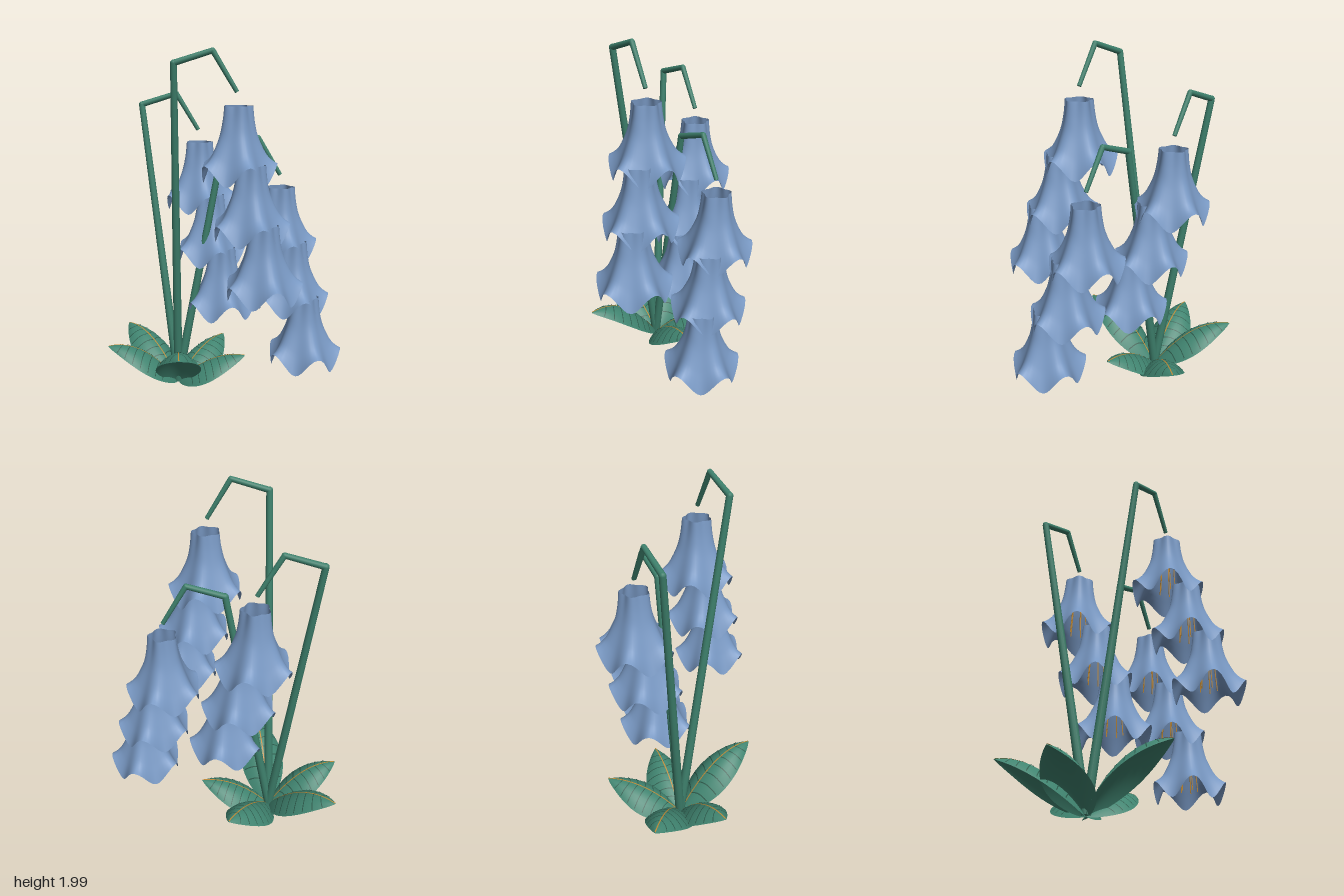
import * as THREE from 'three';
import { ParametricGeometry } from 'three/addons/geometries/ParametricGeometry.js';

const V = (x, y, z) => new THREE.Vector3(x, y, z);
const BASE = V(-0.27, 0.02, -0.13);

function makeMaterial(name, color, side = THREE.FrontSide) {
  const m = new THREE.MeshStandardMaterial({ color, side });
  m.name = name;
  return m;
}

function mesh(name, geometry, material) {
  const m = new THREE.Mesh(geometry, material);
  m.name = name;
  return m;
}

// tapered rod between two points
function rod(name, a, b, ra, rb, material) {
  const m = mesh(name, new THREE.CylinderGeometry(rb, ra, a.distanceTo(b), 12), material);
  m.position.copy(a).lerp(b, 0.5);
  m.quaternion.setFromUnitVectors(V(0, 1, 0), b.clone().sub(a).normalize());
  return m;
}

// bell profiles (radius, height) along the raised and the drooping parts of the rim
const spline = pts => new THREE.SplineCurve(pts.map(p => new THREE.Vector2(...p)));
const raised = spline([[0.082, 0], [0.09, -0.08], [0.108, -0.16], [0.148, -0.245], [0.182, -0.285], [0.214, -0.305]]);
const drooping = spline([[0.066, 0], [0.08, -0.09], [0.102, -0.18], [0.136, -0.28], [0.162, -0.35], [0.184, -0.412]]);

function bellPoint(u, v, target) {
  const a = u * Math.PI * 2;
  const s = 0.5 + 0.5 * Math.cos(5 * a);
  const p = drooping.getPoint(v).lerp(raised.getPoint(v), s);
  target.set(Math.cos(a) * p.x, p.y, Math.sin(a) * p.x);
}

// five-lobed floor set down inside the neck of the bell
function floorPoint(u, v, target) {
  bellPoint(u, 0.22, target);
  target.set(target.x * v * 0.96, -0.1, target.z * v * 0.96);
}

function createFlower(mats, geo) {
  const g = new THREE.Group();
  g.name = 'flower';
  g.add(mesh('bell', geo.bell, mats.petal), mesh('bellFloor', geo.floor, mats.petal));
  for (let i = 0; i < 5; i++) {
    const s = mesh('stamen', geo.stamen, mats.ochre);
    s.rotation.y = i * Math.PI * 0.4 + 0.3;
    g.add(s);
  }
  return g;
}

function createLeaf(angle, length, height, mats) {
  const g = new THREE.Group();
  g.name = 'leaf';
  // arched blade with lowered edges: t runs base to tip, s from edge to edge
  const point = (t, s) => {
    const w = 0.132 * Math.pow(Math.max(0, Math.sin(Math.PI * Math.pow(t, 0.9))), 0.85);
    return V(length * t, height * (2.3 * t - 1.3 * t * t) - 0.7 * w * s * s, w * s);
  };
  const blade = (u, v, target) => target.copy(point(Math.min(u, 0.9999), 1 - 2 * v));
  g.add(mesh('leafBlade', new ParametricGeometry(blade, 24, 12), mats.leaf));

  // thin ribbons lying just above the blade
  const midrib = (u, v, target) => {
    target.copy(point(0.04 + 0.95 * u, 0)).add(V(0, 0.003, (v - 0.5) * 0.007));
  };
  g.add(mesh('midrib', new ParametricGeometry(midrib, 20, 1), mats.ochre));
  for (let i = 0; i < 7; i++) {
    for (const side of [-1, 1]) {
      const sideVein = (u, v, target) => {
        const t = 0.16 + i * 0.105 + 0.09 * u + (v - 0.5) * 0.01;
        target.copy(point(t, side * (0.04 + 0.9 * u))).add(V(0, 0.003, 0));
      };
      g.add(mesh('sideVein', new ParametricGeometry(sideVein, 8, 1), mats.vein));
    }
  }
  g.rotation.y = -angle * Math.PI / 180;
  g.position.set(BASE.x, 0.01, BASE.z);
  return g;
}

export function createModel() {
  const model = new THREE.Group();
  model.name = 'bellFlowerPlant';
  const mats = {
    petal: makeMaterial('petalBlue', 0x7999c4, THREE.DoubleSide),
    stem: makeMaterial('stemGreen', 0x3d7f6b),
    leaf: makeMaterial('leafGreen', 0x408470, THREE.DoubleSide),
    vein: makeMaterial('veinDarkGreen', 0x2a5748, THREE.DoubleSide),
    ochre: makeMaterial('ochre', 0xc08a35, THREE.DoubleSide),
  };

  // shared flower geometry
  const stamenPath = new THREE.CatmullRomCurve3(
    [V(0.003, -0.095, 0), V(0.03, -0.096, 0), V(0.05, -0.105, 0), V(0.042, -0.2, 0), V(0.05, -0.345, 0)]);
  const geo = {
    bell: new ParametricGeometry(bellPoint, 60, 18),
    floor: new ParametricGeometry(floorPoint, 40, 2),
    stamen: new THREE.TubeGeometry(stamenPath, 20, 0.003, 6),
  };

  // stalks: bend position of each, then the shared hooked arm and three hanging bells
  const bends = [V(-0.25, 1.918, 0.15), V(-0.48, 1.68, -0.325), V(0.0, 1.44, -0.13)];
  for (const bend of bends) {
    const stalk = new THREE.Group();
    stalk.name = 'stalk';
    const peak = bend.clone().add(V(0.205, 0.064, 0));
    const tip = peak.clone().add(V(0.128, -0.213, 0));
    stalk.add(
      rod('stem', BASE, bend, 0.026, 0.018, mats.stem),
      rod('arm', bend, peak, 0.017, 0.015, mats.stem),
      rod('hook', peak, tip, 0.015, 0.012, mats.stem));
    for (const [p, r] of [[bend, 0.018], [peak, 0.015]]) {
      const joint = mesh('stemJoint', new THREE.SphereGeometry(r, 12, 8), mats.stem);
      joint.position.copy(p);
      stalk.add(joint);
    }
    for (let i = 0; i < 3; i++) {
      const flower = createFlower(mats, geo);
      flower.position.copy(bend).add(V(0.337 + 0.068 * i, -0.22 - 0.305 * i, 0.086 * i));
      stalk.add(flower);
    }
    model.add(stalk);
  }

  // leaf rosette: angle from +x towards +z, reach, tip height
  const leaves = [[4, 0.41, 0.18], [85, 0.49, 0.33], [170, 0.42, 0.25], [223, 0.47, 0.26], [308, 0.44, 0.18]];
  for (const [angle, length, height] of leaves) model.add(createLeaf(angle, length, height, mats));
  return model;
}
